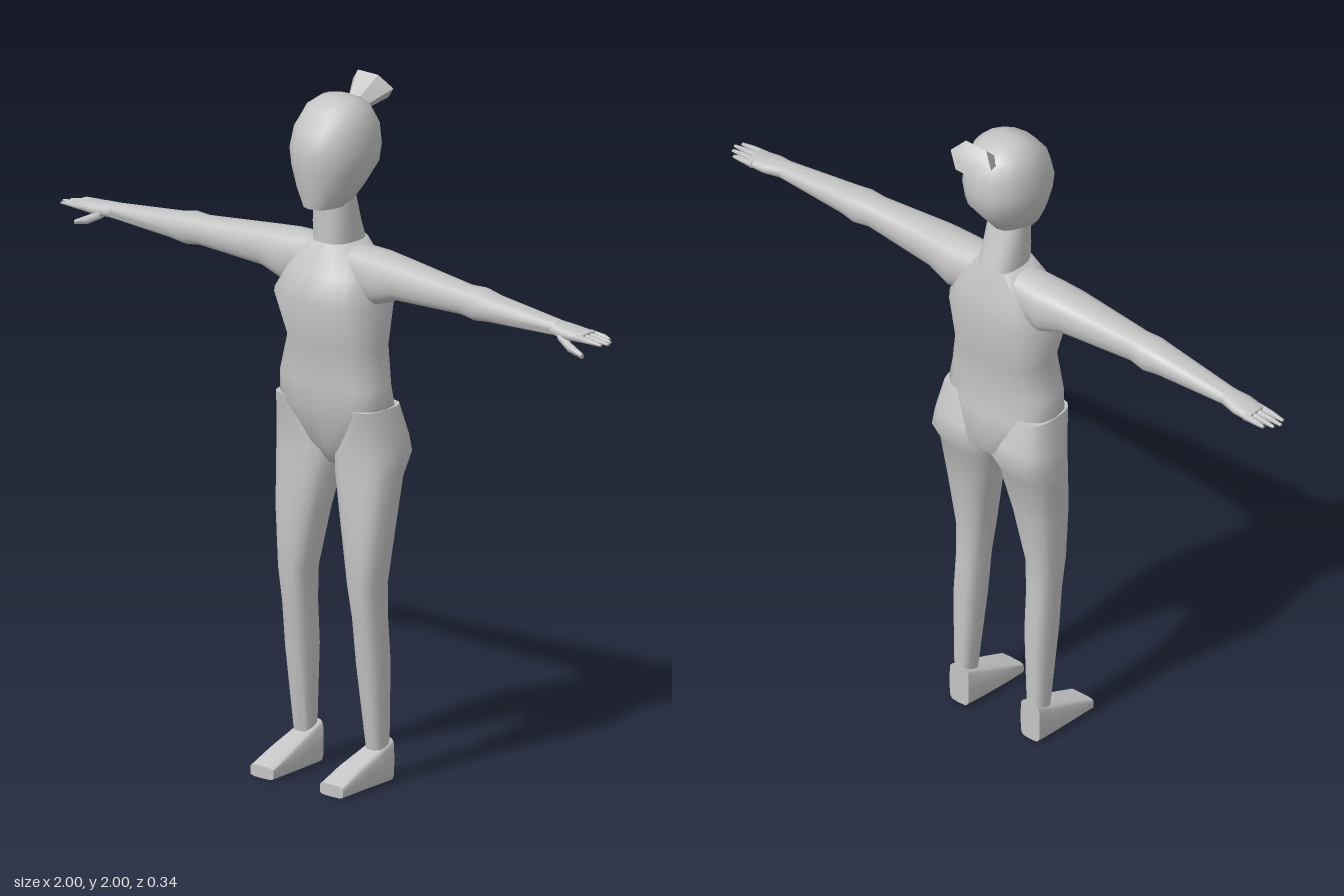
import * as THREE from 'three';
import { toCreasedNormals } from 'three/addons/utils/BufferGeometryUtils.js';

const clay = new THREE.MeshStandardMaterial({ color: 0xc4c4c4 });
clay.name = 'clay grey';

// Which coordinate runs along the part (t) and which two span its rings (a, b)
const AXES = {
  y: (t, a, b) => [a, t, b],
  x: (t, a, b) => [t, a, b],
  z: (t, a, b) => [a, b, t],
};

// Capped skin over rounded-box rings; row = [t, aMin, aMax, bMin, bMax]
function loft(axis, rows, { power = 2.5, n = 16, side = 1, crease = 1.1 } = {}) {
  const pos = [], idx = [];
  const put = (t, a, b) => {
    const [x, y, z] = AXES[axis](t, a, b);
    pos.push(x * side, y, z);
  };
  const bend = (v) => Math.sign(v) * Math.abs(v) ** (2 / power);
  for (const [t, a0, a1, b0, b1] of rows) {
    for (let i = 0; i < n; i++) {
      const w = (i / n) * Math.PI * 2;
      put(t, (a0 + a1) / 2 + bend(Math.cos(w)) * (a1 - a0) / 2,
        (b0 + b1) / 2 + bend(Math.sin(w)) * (b1 - b0) / 2);
    }
  }
  const ends = [rows[0], rows[rows.length - 1]];
  for (const [t, a0, a1, b0, b1] of ends) put(t, (a0 + a1) / 2, (b0 + b1) / 2);
  const base = rows.length * n, last = base - n;
  for (let i = 0; i < n; i++) {
    const j = (i + 1) % n;
    for (let r = 0; r < last; r += n) {
      idx.push(r + i, r + n + i, r + j, r + j, r + n + i, r + n + j);
    }
    idx.push(base, i, j, base + 1, last + j, last + i);
  }
  // Keep faces pointing outward whatever the axis or mirroring
  const flip = (axis === 'x') !== (side < 0);
  const outward = axis === 'z' ? side < 0 : axis === 'y' ? side > 0 : !flip;
  if (!outward) idx.reverse();
  const geo = new THREE.BufferGeometry();
  geo.setAttribute('position', new THREE.Float32BufferAttribute(pos, 3));
  geo.setIndex(idx);
  // Check the enclosed volume and turn the faces if it is negative
  let vol = 0;
  const p = [0, 1, 2].map(() => new THREE.Vector3());
  for (let i = 0; i < idx.length; i += 3) {
    p.forEach((v, k) => v.fromArray(pos, idx[i + k] * 3));
    vol += p[0].dot(p[1].clone().cross(p[2]));
  }
  if (vol < 0) geo.setIndex(idx.slice().reverse());
  return toCreasedNormals(geo, crease);
}

export function createModel() {
  const model = new THREE.Group();
  model.name = 'figure';
  const add = (name, geo, parent = model) => {
    const mesh = new THREE.Mesh(geo, clay);
    mesh.name = name;
    parent.add(mesh);
    return mesh;
  };
  const sym = (t, w, b0, b1) => [t, -w, w, b0, b1];

  // Trunk, from the crotch up to the shoulders
  add('torso', loft('y', [
    sym(0.905, 0.02, -0.06, 0.03), sym(0.96, 0.1, -0.105, 0.06),
    sym(1.07, 0.183, -0.088, 0.095), sym(1.15, 0.175, -0.075, 0.1),
    sym(1.26, 0.15, -0.095, 0.1), sym(1.395, 0.172, -0.11, 0.145),
    sym(1.47, 0.135, -0.1, 0.11), sym(1.55, 0.068, -0.08, 0.07),
  ], { power: 2.8 }));
  add('neck', loft('y', [
    sym(1.53, 0.062, -0.085, 0.07), sym(1.6, 0.062, -0.057, 0.07),
    sym(1.69, 0.06, -0.03, 0.068),
  ]));

  // Head, flat under the chin and sloping to the nape
  add('head', loft('y', [
    sym(1.66, 0.055, -0.03, 0.125), sym(1.71, 0.083, -0.07, 0.135),
    sym(1.77, 0.108, -0.115, 0.143), sym(1.82, 0.116, -0.12, 0.145),
    sym(1.88, 0.108, -0.115, 0.13), sym(1.93, 0.088, -0.085, 0.09),
    sym(1.955, 0.055, -0.045, 0.045), sym(1.962, 0.015, -0.01, 0.02),
  ], { power: 2.2 }));

  // Flared hair bun leaning back
  const bun = add('hairBun', loft('y', [
    sym(0, 0.036, -0.028, 0.028), sym(0.075, 0.074, -0.05, 0.05),
    sym(0.085, 0.03, -0.02, 0.02),
  ], { power: 2, n: 6, crease: 0.6 }));
  bun.position.set(0, 1.922, -0.08);
  bun.rotation.x = -1.04;

  for (const [label, side] of [['left', 1], ['right', -1]]) {
    // Leg from hip to ankle
    add(label + 'Leg', loft('y', [
      [0.1, 0.105, 0.16, -0.045, 0.02], [0.35, 0.09, 0.17, -0.045, 0.052],
      [0.48, 0.087, 0.17, -0.035, 0.065], [0.58, 0.079, 0.174, -0.032, 0.08],
      [0.75, 0.045, 0.193, -0.055, 0.078], [0.89, 0.012, 0.205, -0.08, 0.07],
      [0.95, 0.005, 0.21, -0.115, 0.067], [1.0, 0.03, 0.203, -0.105, 0.07],
      [1.09, 0.08, 0.183, -0.078, 0.085],
    ], { side, power: 2.7 }));

    // Wedge foot
    add(label + 'Foot', loft('z', [
      [-0.045, 0.095, 0.165, 0, 0.125], [0.015, 0.09, 0.168, 0, 0.1],
      [0.1, 0.085, 0.17, 0, 0.068], [0.175, 0.085, 0.17, 0, 0.035],
    ], { side, power: 5, crease: 0.7 }));

    // Arm held straight out
    add(label + 'Arm', loft('x', [
      [0.06, 1.42, 1.545, -0.065, 0.06], [0.165, 1.392, 1.543, -0.068, 0.068],
      [0.24, 1.422, 1.536, -0.06, 0.068], [0.48, 1.432, 1.513, -0.035, 0.057],
      [0.53, 1.425, 1.514, -0.042, 0.061], [0.58, 1.431, 1.505, -0.035, 0.058],
      [0.82, 1.44, 1.479, -0.021, 0.038],
    ], { side, power: 2.6 }));

    // Hand with four fingers and a drooping thumb
    const hand = new THREE.Group();
    hand.name = label + 'Hand';
    model.add(hand);
    add('palm', loft('x', [
      [0.8, 1.441, 1.481, -0.021, 0.038], [0.86, 1.437, 1.474, -0.034, 0.046],
      [0.92, 1.44, 1.466, -0.036, 0.04],
    ], { side, n: 12 }), hand);
    [[-0.028, 0.97], [-0.009, 0.99], [0.011, 1.0], [0.031, 0.99]].forEach(([z, tip]) => {
      add('finger', loft('x', [
        [0.9, 1.443, 1.465, z - 0.009, z + 0.009], [0.95, 1.445, 1.461, z - 0.008, z + 0.008],
        [tip, 1.446, 1.453, z - 0.005, z + 0.005],
      ], { side, n: 8 }), hand);
    });
    add('thumb', loft('x', [
      [0.84, 1.436, 1.462, 0.02, 0.044], [0.885, 1.412, 1.438, 0.03, 0.052],
      [0.93, 1.402, 1.416, 0.034, 0.048],
    ], { side, n: 8 }), hand);
  }
  return model;
}
